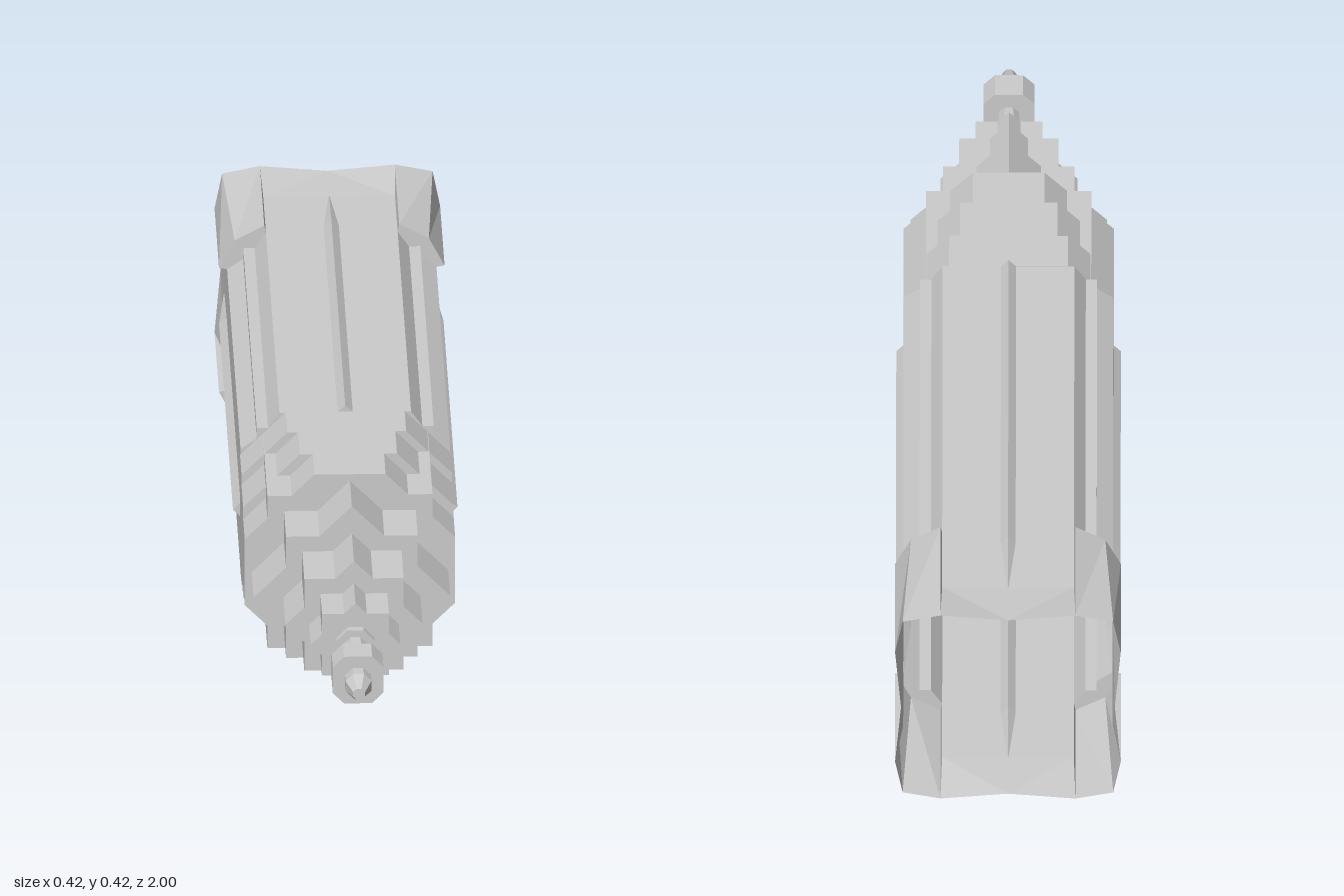
import * as THREE from 'three';

const mat = new THREE.MeshStandardMaterial({ color: 0xcccccc, flatShading: true, side: THREE.DoubleSide });

function add(parent, name, geometry) {
  const mesh = new THREE.Mesh(geometry, mat);
  mesh.name = name;
  parent.add(mesh);
  return mesh;
}

// Polygons (corner lists, fanned from the first corner) to one flat-shaded sheet
function sheet(polygons) {
  const pos = [];
  for (const p of polygons)
    for (let i = 1; i < p.length - 1; i++) pos.push(...p[0], ...p[i], ...p[i + 1]);
  const g = new THREE.BufferGeometry();
  g.setAttribute('position', new THREE.Float32BufferAttribute(pos, 3));
  g.computeVertexNormals();
  return g;
}

// Closed outline from one quarter's points, turned four times about the axis
function fourfold(quarter) {
  const pts = [];
  for (let k = 0; k < 4; k++)
    for (const [x, y] of quarter)
      pts.push(new THREE.Vector2(x, y).rotateAround(new THREE.Vector2(), -k * Math.PI / 2));
  return new THREE.Shape(pts);
}

// Eight-pointed star: axial points at p, square corners at c
const star = (p, c) => fourfold([[0, p], [p - c, c], [c, c], [c, p - c]]);
// Flat-sided outline with a square corner left standing in the chamfer
const stepped = (a) => fourfold([[-a, 0.195], [a, 0.195], [a + 0.042, 0.153], [0.153, 0.153], [0.153, a + 0.042]]);

function extrude(shape, z0, z1) {
  return new THREE.ExtrudeGeometry(shape, { depth: z1 - z0, bevelEnabled: false }).translate(0, 0, z0);
}

// Round or faceted piece along z; r0 at the back, r1 at the front
function turned(r0, r1, z0, z1, sides, spin = 0) {
  return new THREE.CylinderGeometry(r1, r0, z1 - z0, sides)
    .rotateX(Math.PI / 2).rotateZ(spin).translate(0, 0, (z0 + z1) / 2);
}

export function createModel() {
  const model = new THREE.Group();
  model.name = 'tower';
  const body = new THREE.Group();
  body.name = 'towerBody';
  body.position.y = 0.21;
  model.add(body);

  const BASE = -1, PANEL = -0.89, CORNER = -0.72, TOP = 0.125;
  // Shaft corner profile, from the upper panel edge to the side panel edge
  const notch = [[0.122, 0.194], [0.143, 0.164], [0.164, 0.164], [0.164, 0.143], [0.194, 0.122]];
  const at = ([x, y], z) => [x, y, z];
  const lip = [0.125, 0.209], lipSide = [0.209, 0.125], tip = [0.18, 0.18], foot = [0.195, 0.195];
  const edge = notch[0], edgeSide = notch[4], edgeL = [-0.122, 0.194], lipL = [-0.125, 0.209], mid = [0, 0.198];

  // One quarter of the hollow shaft
  const wall = [[at(edgeL, TOP), at(edge, TOP), at(edge, PANEL), at(edgeL, PANEL)]];
  for (let i = 0; i < 4; i++)
    wall.push([at(notch[i], TOP), at(notch[i + 1], TOP), at(notch[i + 1], CORNER), at(notch[i], CORNER)]);

  // One quarter of the flared skirt with its raised corner
  const skirt = [
    [at(edgeL, PANEL), at(edge, PANEL), at(mid, BASE)],
    [at(lipL, BASE), at(edgeL, PANEL), at(mid, BASE)],
    [at(mid, BASE), at(edge, PANEL), at(lip, BASE)],
    [at(lip, CORNER), at(tip, CORNER), at(foot, BASE), at(lip, BASE)],
    [at(tip, CORNER), at(lipSide, CORNER), at(lipSide, BASE), at(foot, BASE)],
    [at(edge, CORNER), at(lip, CORNER), at(lip, BASE), at(edge, PANEL)],
    [at(edgeSide, PANEL), at(lipSide, BASE), at(lipSide, CORNER), at(edgeSide, CORNER)],
    [tip, lip, ...notch, lipSide].map((p) => at(p, CORNER)),
  ];

  const wallGeometry = sheet(wall), skirtGeometry = sheet(skirt);
  for (let k = 0; k < 4; k++) {
    const side = new THREE.Group();
    side.name = 'side' + (k + 1);
    side.rotation.z = -k * Math.PI / 2;
    body.add(side);
    add(side, 'shaftWall', wallGeometry);
    add(side, 'skirt', skirtGeometry);
    // Diamond rib down the middle of the face, tapering at its foot
    add(side, 'rib', turned(0.014, 0.014, -0.75, TOP, 4)).position.y = 0.194;
    add(side, 'ribFoot', turned(0.001, 0.014, PANEL, -0.75, 4)).position.y = 0.194;
  }

  // Shaft roof
  add(body, 'shaftRoof', new THREE.ShapeGeometry(fourfold([edgeL, ...notch.slice(0, 4)])).translate(0, 0, TOP));

  // Setbacks with receding corners
  [[0.11, TOP, 0.22], [0.09, 0.22, 0.325], [0.066, 0.325, 0.42]].forEach(([a, z0, z1], i) =>
    add(body, 'setback' + (i + 1), extrude(stepped(a), z0, z1)));

  // Star-shaped crown tiers
  [[0.182, 0.122, 0.42, 0.54], [0.127, 0.092, 0.54, 0.67], [0.083, 0.062, 0.67, 0.765]].forEach(([p, c, z0, z1], i) =>
    add(body, 'crownTier' + (i + 1), extrude(star(p, c), z0, z1)));

  // Spire
  const e = Math.PI / 8;
  add(body, 'spireCollar', turned(0.038, 0.038, 0.765, 0.782, 8, e));
  add(body, 'spireRod', turned(0.024, 0.02, 0.782, 0.87, 8, e));
  add(body, 'spireBlock', extrude(fourfold([[-0.026, 0.047], [0.026, 0.047]]), 0.87, 0.932));
  add(body, 'spireNeck', turned(0.026, 0.026, 0.932, 0.96, 8, e));
  add(body, 'spireTip', turned(0.026, 0.012, 0.96, 1, 8, e));

  return model;
}
